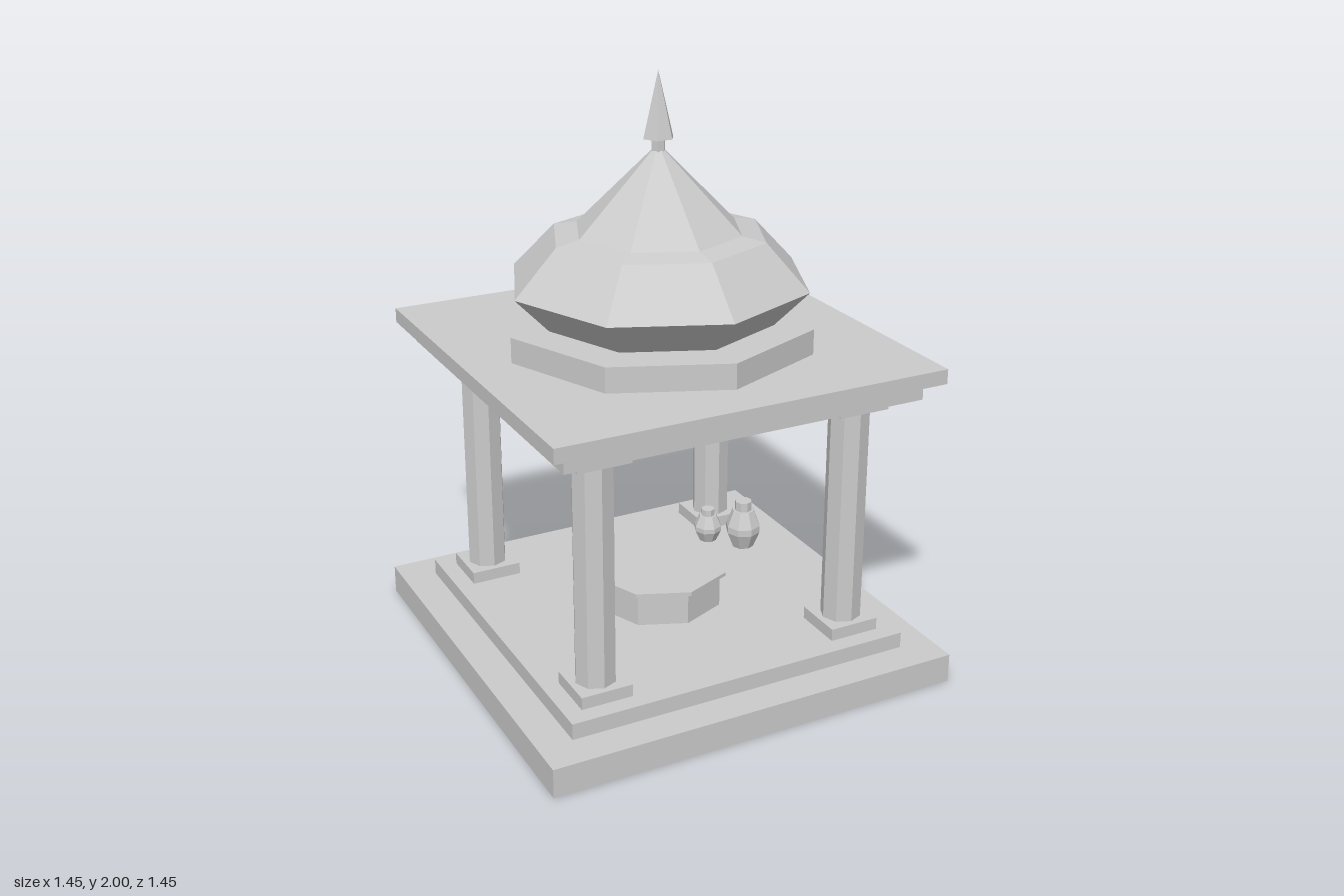
import * as THREE from 'three';

const material = new THREE.MeshStandardMaterial({ color: 0xcccccc, flatShading: true });

function add(parent, name, geometry, x = 0, y = 0, z = 0) {
  const mesh = new THREE.Mesh(geometry, material);
  mesh.name = name;
  mesh.position.set(x, y, z);
  parent.add(mesh);
  return mesh;
}

// Square slab between two heights
function slab(parent, name, width, y0, y1, x = 0, z = 0) {
  return add(parent, name, new THREE.BoxGeometry(width, y1 - y0, width), x, (y0 + y1) / 2, z);
}

// Upright prism or cone between two heights
function prism(parent, name, rTop, rBottom, y0, y1, sides = 8, x = 0, z = 0) {
  return add(parent, name, new THREE.CylinderGeometry(rTop, rBottom, y1 - y0, sides), x, (y0 + y1) / 2, z);
}

// Faceted solid of revolution, profile listed from bottom to top
function turned(parent, name, profile, sides = 8) {
  const points = profile.map(([r, y]) => new THREE.Vector2(r, y));
  return add(parent, name, new THREE.LatheGeometry(points, sides));
}

export function createModel() {
  const model = new THREE.Group();
  model.name = 'pavilion';

  // Stepped floor
  slab(model, 'lowerStep', 1.445, 0, 0.1);
  slab(model, 'upperStep', 1.21, 0.1, 0.155);

  // Four columns with plinths and capitals
  for (const x of [-0.457, 0.457]) {
    for (const z of [-0.457, 0.457]) {
      const column = new THREE.Group();
      column.name = 'column';
      slab(column, 'plinth', 0.176, 0.155, 0.197);
      prism(column, 'shaft', 0.068, 0.068, 0.197, 0.957);
      slab(column, 'capital', 0.18, 0.957, 1.003);
      column.position.set(x, 0, z);
      model.add(column);
    }
  }

  // Flat roof and dome drum
  slab(model, 'ceilingSlab', 1.245, 1.003, 1.065);
  slab(model, 'roofSlab', 1.35, 1.065, 1.115);
  prism(model, 'drum', 0.522, 0.522, 1.115, 1.2);

  // Eight-sided dome with a shoulder under the peak
  turned(model, 'dome', [
    [0.39, 1.2], [0.505, 1.32], [0.36, 1.472], [0.28, 1.487], [0, 1.768],
  ]);

  // Finial
  prism(model, 'finialNeck', 0.024, 0.024, 1.735, 1.785, 6).rotation.y = Math.PI / 6;
  prism(model, 'finialSpike', 0, 0.053, 1.785, 2, 6).rotation.y = Math.PI / 6;

  // Central basin
  prism(model, 'basin', 0.222, 0.222, 0.155, 0.27);
  prism(model, 'basinLid', 0.243, 0.243, 0.27, 0.283);

  // Two jars beside the rear column
  const jarProfile = [
    [0, 0], [0.04, 0], [0.064, 0.06], [0.064, 0.085],
    [0.04, 0.145], [0.031, 0.145], [0.031, 0.18], [0, 0.18],
  ];
  for (const [name, x, z, wide, tall] of [
    ['largeJar', 0.455, -0.2, 1, 1],
    ['smallJar', 0.362, -0.3, 0.8, 0.7],
  ]) {
    const jar = turned(model, name, jarProfile);
    jar.position.set(x, 0.155, z);
    jar.scale.set(wide, tall, wide);
  }

  return model;
}
